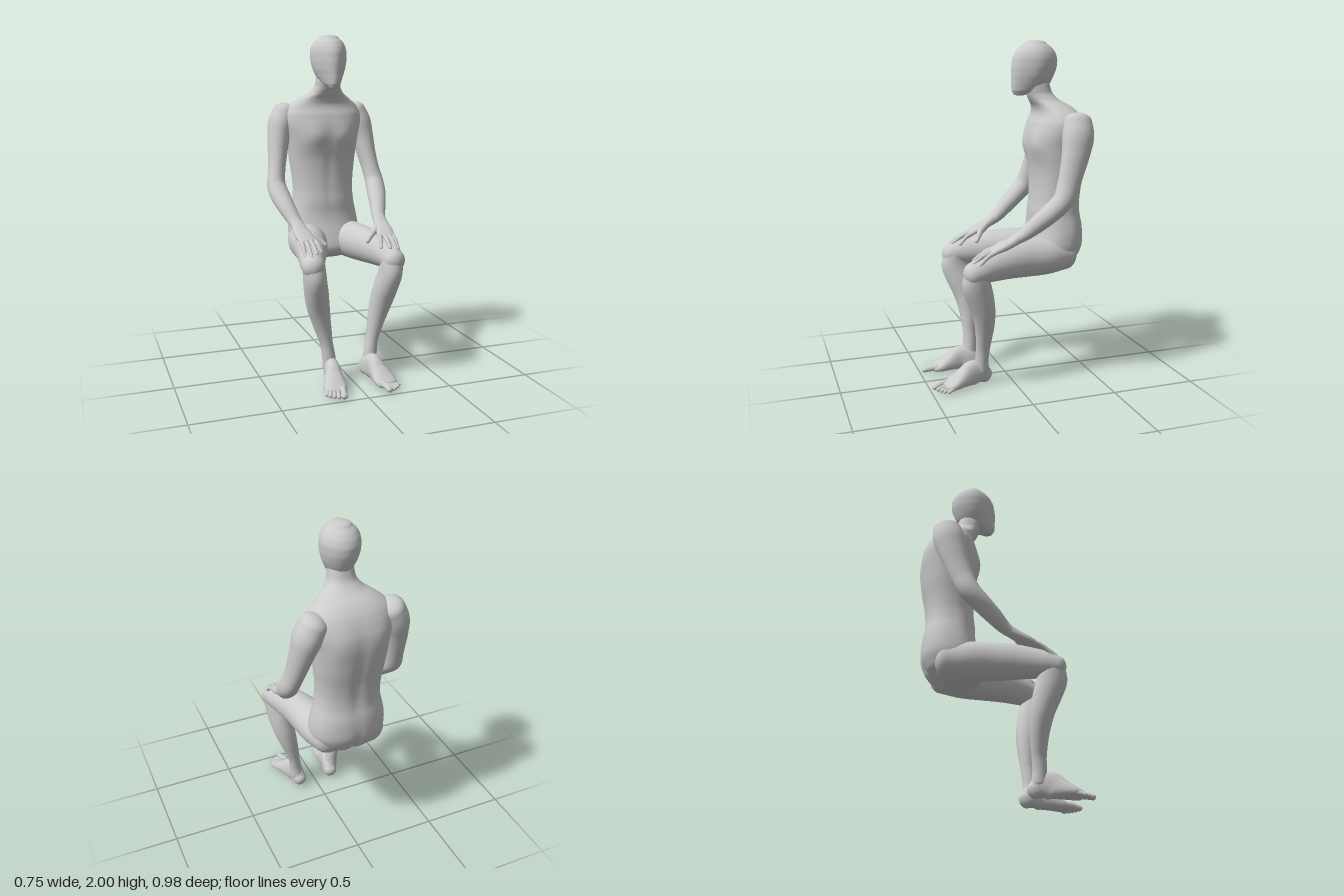
import * as THREE from 'three';

const skin = new THREE.MeshStandardMaterial({ color: 0xcccccc });
const bump = (v, c, w) => Math.exp(-(((v - c) / w) ** 2));
const power = (v, n) => Math.sign(v) * Math.abs(v) ** (2 / n);

// Smooth skin over cross-sections. Row: [x, y, z, half width, half depth].
// caps: length of the rounded start and end; level: keep every ring horizontal;
// n: roundness of the section; shape: rule that moves each finished point.
function loft(name, rows, { caps = [0.01, 0.01], level = false, n = 2, sides = 32, steps = 6, shape } = {}) {
  const centre = new THREE.CatmullRomCurve3(rows.map(r => new THREE.Vector3(r[0], r[1], r[2])));
  const size = new THREE.CatmullRomCurve3(rows.map(r => new THREE.Vector3(r[3], r[4], 0)));
  const count = (rows.length - 1) * steps;
  const rings = [];
  const addRing = (t, scale, shift) => {
    const axis = level ? new THREE.Vector3(0, 1, 0) : centre.getTangent(t);
    const c = centre.getPoint(t).addScaledVector(axis, shift);
    const s = size.getPoint(t);
    const side = new THREE.Vector3(1, 0, 0).addScaledVector(axis, -axis.x).normalize();
    rings.push({ c, side, up: axis.clone().cross(side), a: s.x * scale, b: s.y * scale });
  };
  const capSteps = 6;
  for (let i = capSteps; i > 0; i--) {
    const q = (i / capSteps) * Math.PI / 2;
    addRing(0, Math.max(Math.cos(q), 0.001), -caps[0] * Math.sin(q));
  }
  for (let i = 0; i <= count; i++) addRing(i / count, 1, 0);
  for (let i = 1; i <= capSteps; i++) {
    const q = (i / capSteps) * Math.PI / 2;
    addRing(1, Math.max(Math.cos(q), 0.001), caps[1] * Math.sin(q));
  }

  const position = [], index = [];
  rings.forEach((r, i) => {
    for (let j = 0; j < sides; j++) {
      const q = (j / sides) * Math.PI * 2;
      const p = r.c.clone()
        .addScaledVector(r.side, r.a * power(Math.cos(q), n))
        .addScaledVector(r.up, r.b * power(Math.sin(q), n));
      if (shape) shape(p);
      position.push(p.x, p.y, p.z);
      if (i === rings.length - 1) continue;
      const k = (j + 1) % sides, o = i * sides, u = o + sides;
      index.push(o + j, o + k, u + k, o + j, u + k, u + j);
    }
  });
  const geometry = new THREE.BufferGeometry();
  geometry.setAttribute('position', new THREE.Float32BufferAttribute(position, 3));
  geometry.setIndex(index);
  geometry.computeVertexNormals();
  const mesh = new THREE.Mesh(geometry, skin);
  mesh.name = name;
  return mesh;
}

// Level section given by height, front z, back z and half width
const slice = ([y, front, back, half]) => [0, y, (front + back) / 2, half, (front - back) / 2];

function makeTorso() {
  const rows = [
    [0.655, -0.19, -0.35, 0.14], [0.68, -0.12, -0.39, 0.175], [0.73, -0.1, -0.437, 0.205],
    [0.8, -0.12, -0.465, 0.222], [0.87, -0.145, -0.468, 0.218], [0.93, -0.157, -0.464, 0.207],
    [1.0, -0.16, -0.452, 0.192], [1.07, -0.168, -0.45, 0.187], [1.15, -0.172, -0.458, 0.192],
    [1.25, -0.168, -0.478, 0.205], [1.33, -0.156, -0.488, 0.215], [1.4, -0.148, -0.492, 0.225],
    [1.47, -0.152, -0.485, 0.24], [1.53, -0.166, -0.464, 0.24], [1.58, -0.185, -0.435, 0.215],
    [1.62, -0.18, -0.395, 0.165], [1.66, -0.155, -0.328, 0.103], [1.7, -0.135, -0.287, 0.077],
    [1.75, -0.12, -0.27, 0.071], [1.8, -0.12, -0.26, 0.06],
  ].map(slice);
  // Chest muscles, spine groove, shoulder blades and seat cleft
  const shape = p => {
    const x = Math.abs(p.x);
    if (p.z > -0.28) {
      p.z += 0.016 * bump(x, 0.1, 0.07) * bump(p.y, 1.4, 0.075);
      p.z -= 0.006 * bump(x, 0, 0.02) * bump(p.y, 1.2, 0.2);
    } else if (p.z < -0.34) {
      p.z += 0.012 * bump(x, 0, 0.03) * bump(p.y, 1.2, 0.25);
      p.z += 0.025 * bump(x, 0, 0.018) * bump(p.y, 0.72, 0.09);
      p.z -= 0.008 * bump(x, 0.12, 0.06) * bump(p.y, 1.42, 0.1);
    }
  };
  return loft('torso', rows, { level: true, n: 2.25, sides: 64, caps: [0.015, 0.01], shape });
}

function makeHead() {
  const rows = [
    [1.695, -0.055, -0.13, 0.036], [1.715, -0.043, -0.2, 0.056], [1.75, -0.04, -0.268, 0.076],
    [1.8, -0.04, -0.296, 0.097], [1.85, -0.042, -0.313, 0.108], [1.89, -0.048, -0.316, 0.11],
    [1.93, -0.065, -0.303, 0.103], [1.96, -0.09, -0.28, 0.086], [1.982, -0.12, -0.25, 0.061],
  ].map(slice);
  // The face narrows toward the front
  const shape = p => { p.x *= 1 - 0.22 * THREE.MathUtils.smoothstep(p.z, -0.2, -0.04); };
  return loft('head', rows, { level: true, sides: 48, caps: [0.01, 0.018], shape });
}

function makeArm(side) {
  const group = new THREE.Group();
  const add = (name, rows, options) =>
    group.add(loft(name, rows.map(([x, ...rest]) => [x * side, ...rest]), options));
  add('arm', [
    [0.222, 1.54, -0.36, 0.076, 0.085], [0.252, 1.47, -0.352, 0.079, 0.093],
    [0.274, 1.38, -0.332, 0.067, 0.084], [0.29, 1.28, -0.303, 0.057, 0.073],
    [0.305, 1.19, -0.272, 0.052, 0.065], [0.317, 1.11, -0.235, 0.056, 0.06],
    [0.308, 1.05, -0.175, 0.058, 0.055], [0.288, 0.985, -0.1, 0.05, 0.049],
    [0.265, 0.925, -0.03, 0.041, 0.037], [0.256, 0.895, 0.02, 0.038, 0.028],
  ], { caps: [0.055, 0.02] });
  add('palm', [
    [0.258, 0.908, 0, 0.038, 0.03], [0.254, 0.88, 0.05, 0.045, 0.026],
    [0.248, 0.858, 0.1, 0.052, 0.024], [0.24, 0.837, 0.15, 0.051, 0.018],
  ], { n: 2.4, caps: [0.02, 0.02] });
  // Fingers from little to index: base x, tip x, tip y, tip z
  [[0.28, 0.281, 0.768, 0.24], [0.254, 0.256, 0.777, 0.268],
    [0.228, 0.222, 0.787, 0.258], [0.203, 0.183, 0.785, 0.222]].forEach(([x, tx, ty, tz]) =>
    add('finger', [
      [x, 0.842, 0.135, 0.014, 0.014],
      [(x + tx) / 2, (0.85 + ty) / 2 + 0.008, (0.135 + tz) / 2, 0.013, 0.013],
      [tx, ty, tz, 0.01, 0.01],
    ], { sides: 14, steps: 4 }));
  add('thumb', [
    [0.225, 0.875, 0.055, 0.022, 0.022], [0.185, 0.852, 0.095, 0.019, 0.02],
    [0.15, 0.825, 0.12, 0.015, 0.015], [0.13, 0.806, 0.137, 0.011, 0.011],
  ], { sides: 16, steps: 4 });
  return group;
}

function makeLeg(side) {
  const group = new THREE.Group();
  const add = (name, rows, options) =>
    group.add(loft(name, rows.map(([x, ...rest]) => [x * side, ...rest]), options));
  add('thigh', [
    [0.118, 0.76, -0.33, 0.1, 0.1], [0.135, 0.757, -0.2, 0.116, 0.112],
    [0.158, 0.757, -0.07, 0.104, 0.11], [0.184, 0.753, 0.04, 0.093, 0.102],
    [0.21, 0.742, 0.13, 0.081, 0.09], [0.233, 0.728, 0.21, 0.072, 0.077],
    [0.243, 0.713, 0.265, 0.065, 0.066],
  ], { caps: [0.07, 0.058], sides: 40 });
  add('lowerLeg', [
    [0.238, 0.715, 0.25, 0.064, 0.068], [0.23, 0.64, 0.245, 0.066, 0.084],
    [0.215, 0.56, 0.22, 0.069, 0.08], [0.197, 0.47, 0.195, 0.067, 0.069],
    [0.176, 0.38, 0.183, 0.057, 0.058], [0.157, 0.3, 0.181, 0.046, 0.048],
    [0.14, 0.22, 0.183, 0.037, 0.041], [0.13, 0.15, 0.187, 0.039, 0.04],
    [0.124, 0.09, 0.187, 0.041, 0.045],
  ], { caps: [0.05, 0.03] });
  add('foot', [
    [0.11, 0.05, 0.16, 0.041, 0.046], [0.118, 0.073, 0.2, 0.044, 0.07],
    [0.128, 0.078, 0.245, 0.044, 0.075], [0.139, 0.058, 0.305, 0.055, 0.054],
    [0.15, 0.037, 0.365, 0.066, 0.033], [0.156, 0.027, 0.4, 0.06, 0.022],
  ], { n: 2.3, caps: [0.036, 0.02], shape: p => { p.y = Math.max(p.y, 0.004); } });
  // Toes from big to little: base x, base z, tip x, tip z, radius
  [[0.118, 0.4, 0.136, 0.475, 0.019], [0.148, 0.4, 0.163, 0.462, 0.013],
    [0.168, 0.395, 0.184, 0.447, 0.012], [0.187, 0.385, 0.203, 0.431, 0.012],
    [0.203, 0.37, 0.216, 0.41, 0.012]].forEach(([x, z, tx, tz, r]) =>
    add('toe', [
      [x, r + 0.016, z, r, r], [(x + tx) / 2, r + 0.012, (z + tz) / 2, r * 0.9, r],
      [tx, r + 0.004, tz, r, r * 0.85],
    ], { sides: 14, steps: 4, caps: [0.01, r * 0.8] }));
  return group;
}

export function createModel() {
  const model = new THREE.Group();
  model.name = 'seatedFigure';
  model.add(makeTorso(), makeHead());
  for (const [name, side] of [['left', 1], ['right', -1]]) {
    const arm = makeArm(side), leg = makeLeg(side);
    arm.name = name + 'Arm';
    leg.name = name + 'Leg';
    model.add(arm, leg);
  }
  return model;
}
